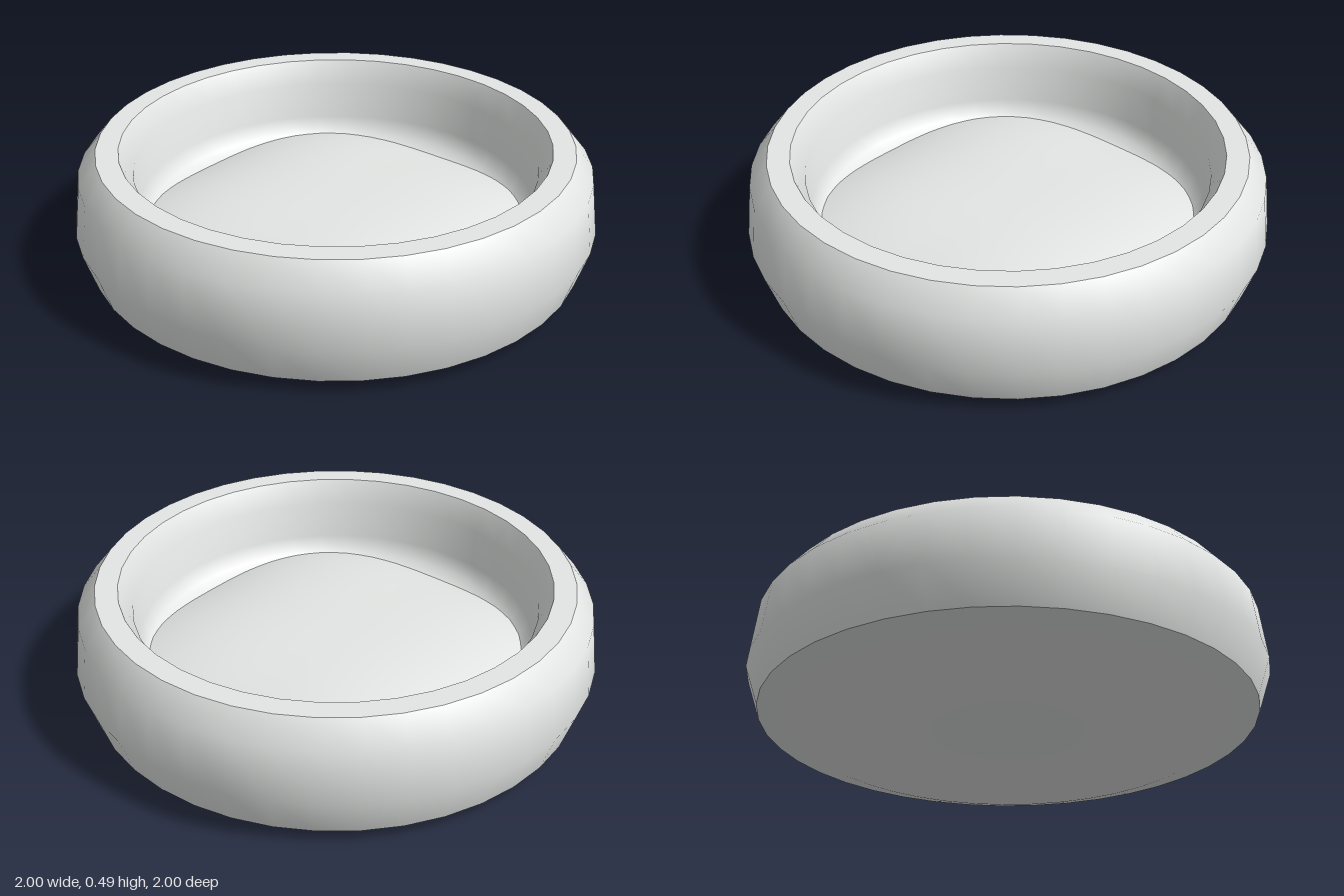
import * as THREE from 'three';
import { toCreasedNormals } from 'three/addons/utils/BufferGeometryUtils.js';

const SEGMENTS = 40;

// Softly domed rounded-square pad, built as rings from the centre outwards
function cushionGeometry() {
  const rings = 12, around = 80, power = 2.51, top = 0.25;
  const positions = [0, top, 0], index = [];
  for (let i = 1; i <= rings; i++) {
    const s = 1.03 * i / rings;
    for (let j = 0; j < around; j++) {
      const a = j / around * Math.PI * 2, c = Math.cos(a), n = Math.sin(a);
      const edge = 0.68 / Math.pow(Math.abs(c) ** power + Math.abs(n) ** power, 1 / power);
      const drop = 0.068 + 0.017 * Math.cos(2 * a) ** 2;
      positions.push(c * edge * s, top - drop * s ** 3, n * edge * s);
    }
  }
  for (let j = 0; j < around; j++) {
    const k = (j + 1) % around;
    index.push(0, 1 + k, 1 + j);
    for (let i = 0; i < rings - 1; i++) {
      const a = 1 + i * around + j, b = 1 + i * around + k;
      index.push(a, b, b + around, a, b + around, a + around);
    }
  }
  const geometry = new THREE.BufferGeometry();
  geometry.setAttribute('position', new THREE.Float32BufferAttribute(positions, 3));
  geometry.setIndex(index);
  geometry.computeVertexNormals();
  return geometry;
}

export function createModel() {
  const group = new THREE.Group();
  group.name = 'dish';
  const grey = new THREE.MeshStandardMaterial({ color: 0xe3e6e4 });
  grey.name = 'light grey';

  // Bowl: underside, bulging outer wall, flat rim, then the inner wall and floor
  const profile = [
    [0, 0], [0.8, 0.003], [0.95, 0.05], [1, 0.2], [0.975, 0.405], [0.905, 0.49],
    [0.82, 0.49], [0.77, 0.4], [0.758, 0.25], [0.73, 0.185], [0.68, 0.162], [0.6, 0.13], [0, 0.12],
  ].map(([r, y]) => new THREE.Vector2(r, y));
  const bowl = new THREE.Mesh(
    toCreasedNormals(new THREE.LatheGeometry(profile, SEGMENTS), THREE.MathUtils.degToRad(45)), grey);
  bowl.name = 'bowl';

  // Pad resting inside the bowl
  const cushion = new THREE.Mesh(cushionGeometry(), grey);
  cushion.name = 'cushion';

  group.add(bowl, cushion);
  return group;
}
